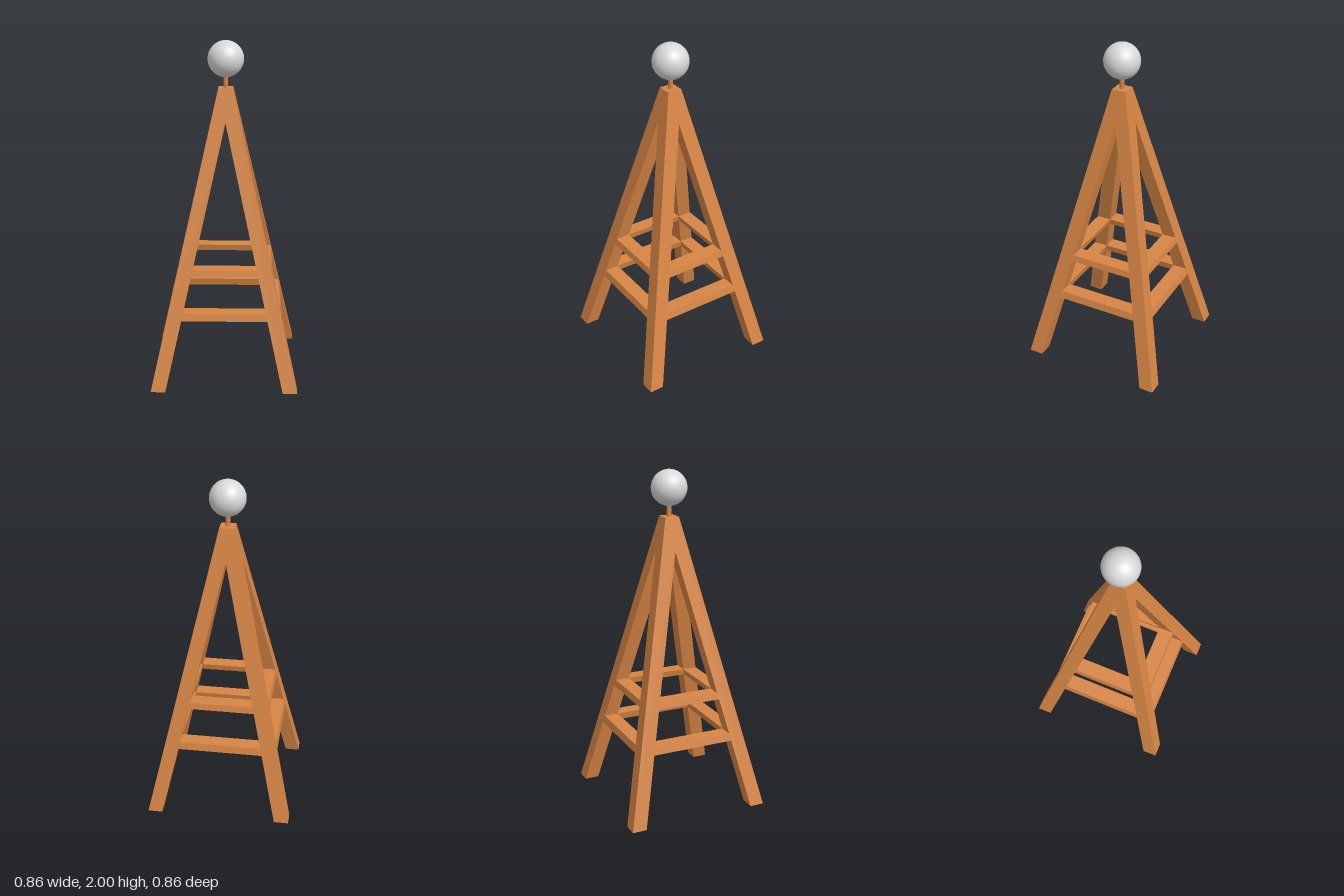
import * as THREE from 'three';

const LEG_TOP = 1.73, LEG_W = 0.086, FOOT = 0.387;
// distance of a leg's centre line from the axis at height y
const centreAt = (y) => FOOT * (1 - y / LEG_TOP);

// Unit box whose vertices are placed by a rule (u, y, w), with u and w = -1 or 1
function shapedBox(y0, y1, rule) {
  const geo = new THREE.BoxGeometry(2, 2, 2).toNonIndexed();
  const p = geo.attributes.position;
  for (let i = 0; i < p.count; i++) {
    const y = p.getY(i) > 0 ? y1 : y0;
    const [x, z] = rule(p.getX(i), y, p.getZ(i));
    p.setXYZ(i, x, y, z);
  }
  geo.computeVertexNormals();
  return geo;
}

export function createModel() {
  const model = new THREE.Group();
  const wood = new THREE.MeshStandardMaterial({ color: 0xd78544 });
  wood.name = 'orange wood';
  const grey = new THREE.MeshStandardMaterial({ color: 0xd9d9d9 });
  grey.name = 'light grey';

  const add = (name, geo, material) => {
    const mesh = new THREE.Mesh(geo, material);
    mesh.name = name;
    model.add(mesh);
    return mesh;
  };

  // Four leaning legs that meet at the top
  const legGeo = shapedBox(0, LEG_TOP, (u, y, w) => [
    centreAt(y) + u * LEG_W / 2, centreAt(y) + w * LEG_W / 2]);
  // Two rings of rails, flush with the leg faces
  const railGeos = [[0.413, 0.457], [0.667, 0.705]].map(([y0, y1]) =>
    shapedBox(y0, y1, (u, y, w) => [
      u * (centreAt(y) - LEG_W / 2), centreAt(y) + w * LEG_W / 2]));

  for (let i = 0; i < 4; i++) {
    const turn = i * Math.PI / 2;
    add('leg', legGeo, wood).rotation.y = turn;
    add('lowerRail', railGeos[0], wood).rotation.y = turn;
    add('upperRail', railGeos[1], wood).rotation.y = turn;
  }

  // Short post carrying the ball
  add('post', new THREE.CylinderGeometry(0.014, 0.014, 0.12, 16), wood).position.y = 1.76;
  add('ball', new THREE.SphereGeometry(0.105, 40, 28), grey).position.y = 1.895;

  return model;
}
